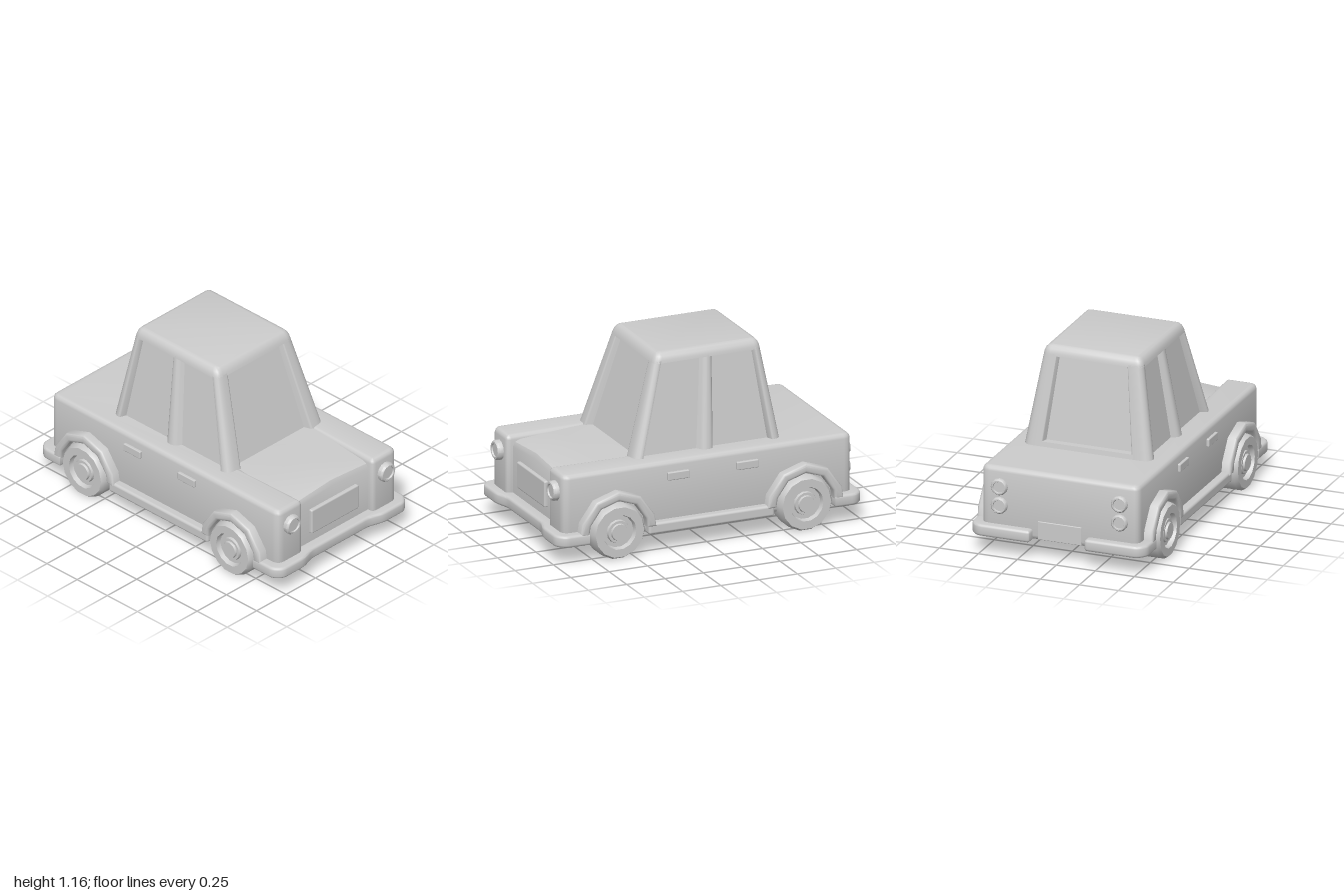
import * as THREE from 'three';
import { toCreasedNormals } from 'three/addons/utils/BufferGeometryUtils.js';
import { RoundedBoxGeometry } from 'three/addons/geometries/RoundedBoxGeometry.js';

const material = new THREE.MeshStandardMaterial({ color: 0xcccccc });

function add(group, name, geometry, x = 0, y = 0, z = 0) {
  const mesh = new THREE.Mesh(geometry, material);
  mesh.name = name;
  mesh.position.set(x, y, z);
  group.add(mesh);
}

// Closed outline; each corner is [x, y, optional radius]
function outline(corners) {
  const shape = new THREE.Shape();
  const n = corners.length;
  corners.forEach(([x, y, r = 0], i) => {
    const toward = ([px, py]) => {
      const k = r / Math.hypot(px - x, py - y);
      return [x + (px - x) * k, y + (py - y) * k];
    };
    const start = toward(corners[(i + n - 1) % n]);
    if (i === 0) shape.moveTo(...start);
    else shape.lineTo(...start);
    if (r) shape.quadraticCurveTo(x, y, ...toward(corners[(i + 1) % n]));
  });
  shape.closePath();
  return shape;
}

function extrude(shape, depth, bevel) {
  return new THREE.ExtrudeGeometry(shape, {
    depth: depth - 2 * bevel, bevelEnabled: bevel > 0, bevelThickness: bevel,
    bevelSize: bevel, bevelOffset: -bevel, bevelSegments: 3, curveSegments: 4,
  }).translate(0, 0, bevel);
}

// Horizontal slab from plan corners [x, z, radius], between two heights
function slab(corners, y0, y1, bevel = 0) {
  const shape = outline(corners.map(([x, z, r]) => [x, -z, r]));
  return extrude(shape, y1 - y0, bevel).rotateX(-Math.PI / 2).translate(0, y0, 0);
}

const smooth = (g) => toCreasedNormals(g, 0.7);
const mirrorX = (half) => [...half, ...half.slice().reverse().map(([x, z, r]) => [-x, z, r])];
const rect = (x0, x1, z0, z1, r) => [[x0, z0, r], [x1, z0, r], [x1, z1, r], [x0, z1, r]];

// Leans the cabin parts inwards towards the roof
function taper(g) {
  const p = g.attributes.position;
  for (let i = 0; i < p.count; i++) {
    const t = (p.getY(i) - 0.55) / 0.61;
    p.setX(i, p.getX(i) * (1 - 0.24 * t));
    p.setZ(i, (p.getZ(i) + 0.05) * (1 - 0.3 * t) - 0.05 - 0.045 * t);
  }
  return smooth(g);
}

const lathe = (profile, sides) =>
  smooth(new THREE.LatheGeometry(profile.map(([r, y]) => new THREE.Vector2(r, y)), sides));

// Crowned bonnet lofted along z from [z, edge height, centre height]
function bonnetGeometry() {
  const sections = [[0.38, 0.547, 0.547], [0.6, 0.535, 0.547], [0.85, 0.518, 0.542],
    [0.885, 0.505, 0.53], [0.9, 0.475, 0.5]];
  const pos = [], index = [];
  for (const [z, edge, mid] of sections) {
    pos.push(0.315, 0.15, z, 0.315, edge, z, 0, mid, z, -0.315, edge, z, -0.315, 0.15, z);
  }
  for (let s = 0; s < sections.length - 1; s++) {
    for (let i = 0; i < 4; i++) {
      const a = s * 5 + i, b = a + 5;
      index.push(a, a + 1, b, b, a + 1, b + 1);
    }
  }
  const e = (sections.length - 1) * 5;
  for (let i = 1; i < 4; i++) index.push(e, e + i, e + i + 1);
  const g = new THREE.BufferGeometry();
  g.setAttribute('position', new THREE.Float32BufferAttribute(pos, 3));
  g.setIndex(index);
  return smooth(g);
}

export function createModel() {
  const car = new THREE.Group();
  car.name = 'car';

  // Body with a front notch that leaves two raised wings beside the bonnet
  add(car, 'body', smooth(slab(mirrorX([
    [0.308, 0.4], [0.298, 0.94, 0.03], [0.505, 0.94, 0.05], [0.505, -0.945, 0.05],
  ]), 0.12, 0.55, 0.03)));
  add(car, 'bonnet', bonnetGeometry());
  add(car, 'noseFloor', new THREE.BoxGeometry(0.62, 0.08, 0.52), 0, 0.16, 0.635);
  add(car, 'grille', new RoundedBoxGeometry(0.4, 0.165, 0.04, 2, 0.01), 0, 0.337, 0.902);
  add(car, 'rearPlate', new RoundedBoxGeometry(0.28, 0.115, 0.03, 2, 0.004), 0, 0.187, -0.936);

  // Cabin: recessed glass, pillars and roof
  const cabin = new THREE.Group();
  cabin.name = 'cabin';
  car.add(cabin);
  add(cabin, 'glass', taper(slab(rect(-0.365, 0.365, -0.485, 0.385), 0.53, 1.12)));
  for (const s of [1, -1]) {
    add(cabin, 'frontPillar', taper(slab(
      [[s * 0.275, 0.37], [s * 0.3, 0.43, 0.01], [s * 0.41, 0.43, 0.06], [s * 0.41, 0.37, 0.01], [s * 0.35, 0.35]],
      0.53, 1.11)));
    add(cabin, 'rearPillar', taper(slab(
      [[s * 0.275, -0.47], [s * 0.29, -0.53, 0.01], [s * 0.41, -0.53, 0.06], [s * 0.41, -0.47, 0.01], [s * 0.35, -0.45]],
      0.53, 1.11)));
    add(cabin, 'centrePillar', taper(slab(
      [[s * 0.345, 0.02], [s * 0.41, -0.02, 0.025], [s * 0.41, -0.08, 0.025], [s * 0.345, -0.11]], 0.53, 1.11)));
  }
  add(cabin, 'rearWindowSill', taper(slab(rect(-0.3, 0.3, -0.53, -0.47), 0.53, 0.58)));
  // Roof with rounded top edges and a flat underside
  const roof = slab(rect(-0.41, 0.41, -0.53, 0.43, 0.06), 1.05, 1.16, 0.045);
  for (let i = 0, p = roof.attributes.position; i < p.count; i++) p.setY(i, Math.max(p.getY(i), 1.098));
  add(cabin, 'roof', taper(roof));

  // Bumpers: one full-width in front, two corner pieces behind
  add(car, 'frontBumper', smooth(slab(mirrorX([
    [0.24, 0.965, 0.03], [0.34, 0.997, 0.03], [0.515, 0.997, 0.03], [0.565, 0.945, 0.03],
    [0.565, 0.79], [0.47, 0.79], [0.47, 0.87],
  ]), 0.117, 0.19, 0.016)));

  for (const s of [1, -1]) {
    add(car, 'rearBumper', smooth(slab([
      [s * 0.175, -0.9], [s * 0.175, -1, 0.02], [s * 0.515, -1, 0.03], [s * 0.565, -0.95, 0.03],
      [s * 0.565, -0.81], [s * 0.47, -0.81], [s * 0.47, -0.9],
    ], 0.117, 0.19, 0.016)));
    add(car, 'sill', new RoundedBoxGeometry(0.1, 0.07, 0.82, 3, 0.016), s * 0.505, 0.154, -0.01);
    for (const z of [0.19, -0.26]) {
      add(car, 'doorHandle', new RoundedBoxGeometry(0.04, 0.05, 0.14, 2, 0.006), s * 0.502, 0.455, z);
    }

    // Lamps
    add(car, 'headlamp', lathe([[0.062, -0.02], [0.062, 0.024], [0.053, 0.036], [0.043, 0.036],
      [0.04, 0.026], [0, 0.026]], 12).rotateX(Math.PI / 2), s * 0.4, 0.433, 0.94);
    for (const y of [0.43, 0.312]) {
      add(car, 'tailLamp', lathe([[0.052, -0.02], [0.052, 0.018], [0.044, 0.028], [0.036, 0.028],
        [0.033, 0.02], [0, 0.02]], 12).rotateX(-Math.PI / 2), s * 0.385, y, -0.943);
    }
  }

  // Wheels, arches and axles
  const archAngles = [0, 18, 54, 90, 126, 162, 180].map((d) => d * Math.PI / 180);
  const arc = (r) => archAngles.map((a) => [r * Math.cos(a), r * Math.sin(a)]);
  for (const z of [0.6, -0.62]) {
    add(car, 'axle', new THREE.CylinderGeometry(0.068, 0.068, 0.9, 12).rotateZ(Math.PI / 2), 0, 0.172, z);
    for (const s of [1, -1]) {
      const arch = extrude(outline([...arc(0.248), ...arc(0.19).reverse()]), 0.115, 0.016)
        .translate(0, 0, 0.45).rotateY(s * Math.PI / 2);
      add(car, 'wheelArch', smooth(arch), 0, 0.172, z);
      const wheel = lathe([[0, 0.43], [0.172, 0.43], [0.172, 0.55], [0.158, 0.574], [0.108, 0.574],
        [0.1, 0.545], [0.074, 0.545], [0.07, 0.562], [0.054, 0.562], [0.05, 0.575], [0, 0.575]], 14);
      add(car, 'wheel', wheel.rotateZ(-s * Math.PI / 2), 0, 0.172, z);
    }
  }
  return car;
}
